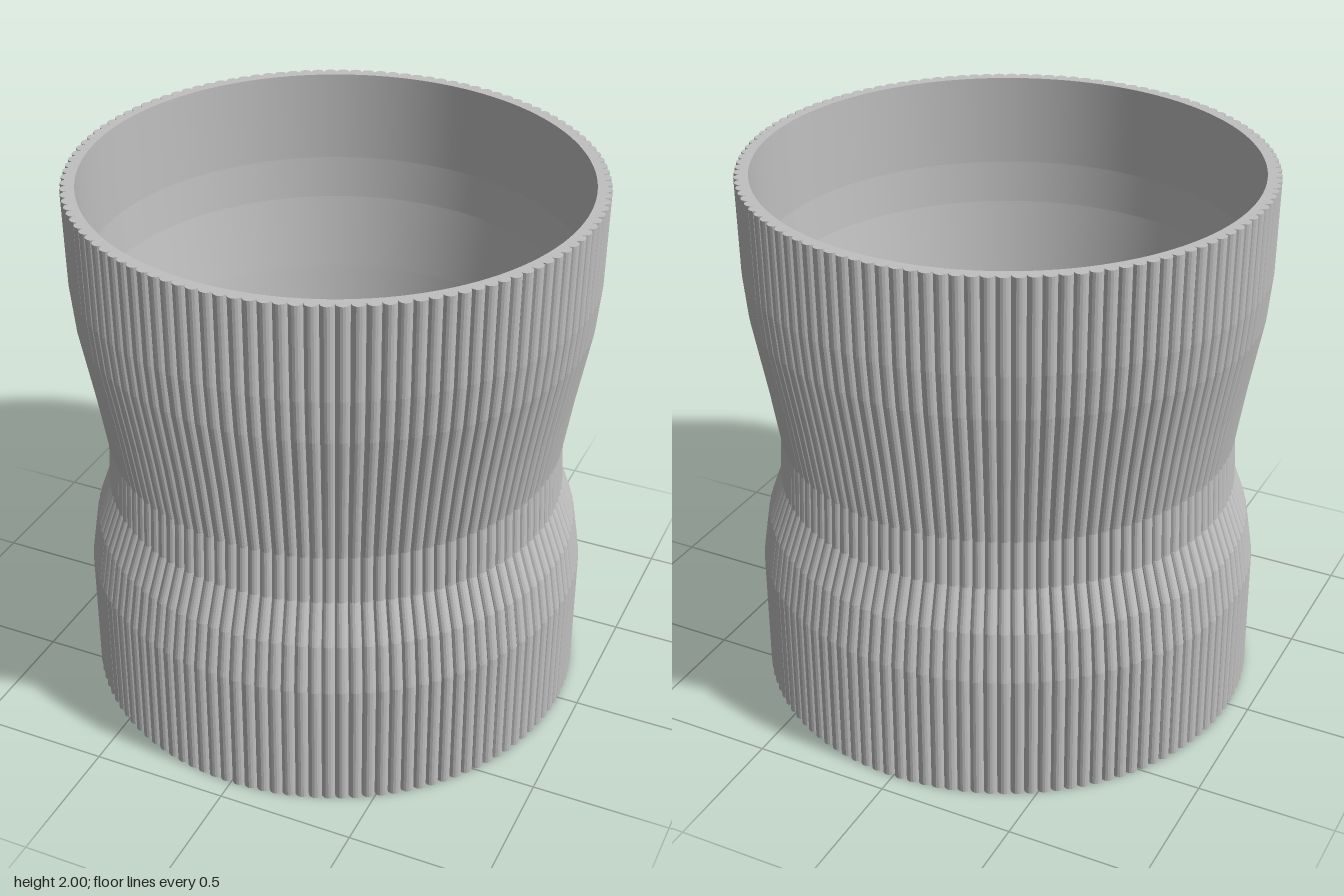
import * as THREE from 'three';

const RIBS = 120;
const STEPS = 8; // facets across each half-round rib
const FLOOR = 0.06;

// Crest radius of the ribs against height: [radius, y]
const OUTER = [
  [0.925, 0], [0.923, 0.48], [0.895, 0.66], [0.842, 0.81], [0.833, 0.99],
  [0.868, 1.22], [0.917, 1.5], [0.931, 1.66], [0.935, 2],
];
// Smooth cavity wall, from the rim down to the floor
const INNER = [
  [0.885, 2], [0.882, 1.66], [0.868, 1.5], [0.819, 1.22], [0.784, 0.99],
  [0.792, 0.81], [0.845, 0.66], [0.873, 0.48], [0.875, FLOOR],
];

// Ribbed outline at a given crest radius, as points in a plane
function ribbedOutline(crest) {
  const half = Math.PI / RIBS;
  const valley = crest / (1 + half);
  const points = [];
  for (let i = 0; i < RIBS; i++) {
    for (let k = 0; k < STEPS; k++) {
      const phi = (Math.PI * k) / STEPS;
      const angle = 2 * half * (i + 0.5) - half * Math.cos(phi);
      const r = valley * (1 + half * Math.sin(phi));
      points.push(new THREE.Vector2(r * Math.cos(angle), r * Math.sin(angle)));
    }
  }
  return points;
}

// Ribbed wall: cross-sections joined in bands, with faceted normals
function ribbedWall() {
  const positions = [];
  const index = [];
  const n = RIBS * STEPS;
  OUTER.forEach(([radius, y]) => {
    for (const p of ribbedOutline(radius)) positions.push(p.x, y, -p.y);
  });
  for (let row = 0; row < OUTER.length - 1; row++) {
    for (let j = 0; j < n; j++) {
      const a = row * n + j;
      const b = row * n + ((j + 1) % n);
      index.push(a, b, b + n, a, b + n, a + n);
    }
  }
  const indexed = new THREE.BufferGeometry();
  indexed.setAttribute('position', new THREE.Float32BufferAttribute(positions, 3));
  indexed.setIndex(index);
  const geometry = indexed.toNonIndexed();
  geometry.computeVertexNormals();
  return geometry;
}

export function createModel() {
  const model = new THREE.Group();
  model.name = 'ribbedCup';
  const grey = new THREE.MeshStandardMaterial({ color: 0xc0c0c0 });
  grey.name = 'plain grey';

  const add = (name, geometry, parent = model) => {
    const mesh = new THREE.Mesh(geometry, grey);
    mesh.name = name;
    parent.add(mesh);
    return mesh;
  };

  add('ribbedWall', ribbedWall());

  // Cavity wall in separate bands, so each bend keeps a crisp edge
  const cavity = new THREE.Group();
  cavity.name = 'cavityWall';
  model.add(cavity);
  for (let i = 0; i < INNER.length - 1; i++) {
    const band = [INNER[i], INNER[i + 1]].map(([r, y]) => new THREE.Vector2(r, y));
    add('cavityBand', new THREE.LatheGeometry(band, 128), cavity);
  }

  // Flat rim between the ribs and the cavity
  const rim = new THREE.Shape(ribbedOutline(OUTER.at(-1)[0]));
  rim.holes.push(new THREE.Path().absarc(0, 0, INNER[0][0], 0, Math.PI * 2, true));
  add('rim', new THREE.ShapeGeometry(rim, 64).rotateX(-Math.PI / 2)).position.y = 2;

  // Floor of the cavity and flat underside
  const floor = new THREE.CircleGeometry(INNER.at(-1)[0], 128).rotateX(-Math.PI / 2);
  add('cavityFloor', floor).position.y = FLOOR;
  const base = new THREE.Shape(ribbedOutline(OUTER[0][0]));
  add('underside', new THREE.ShapeGeometry(base).rotateX(Math.PI / 2));

  return model;
}
